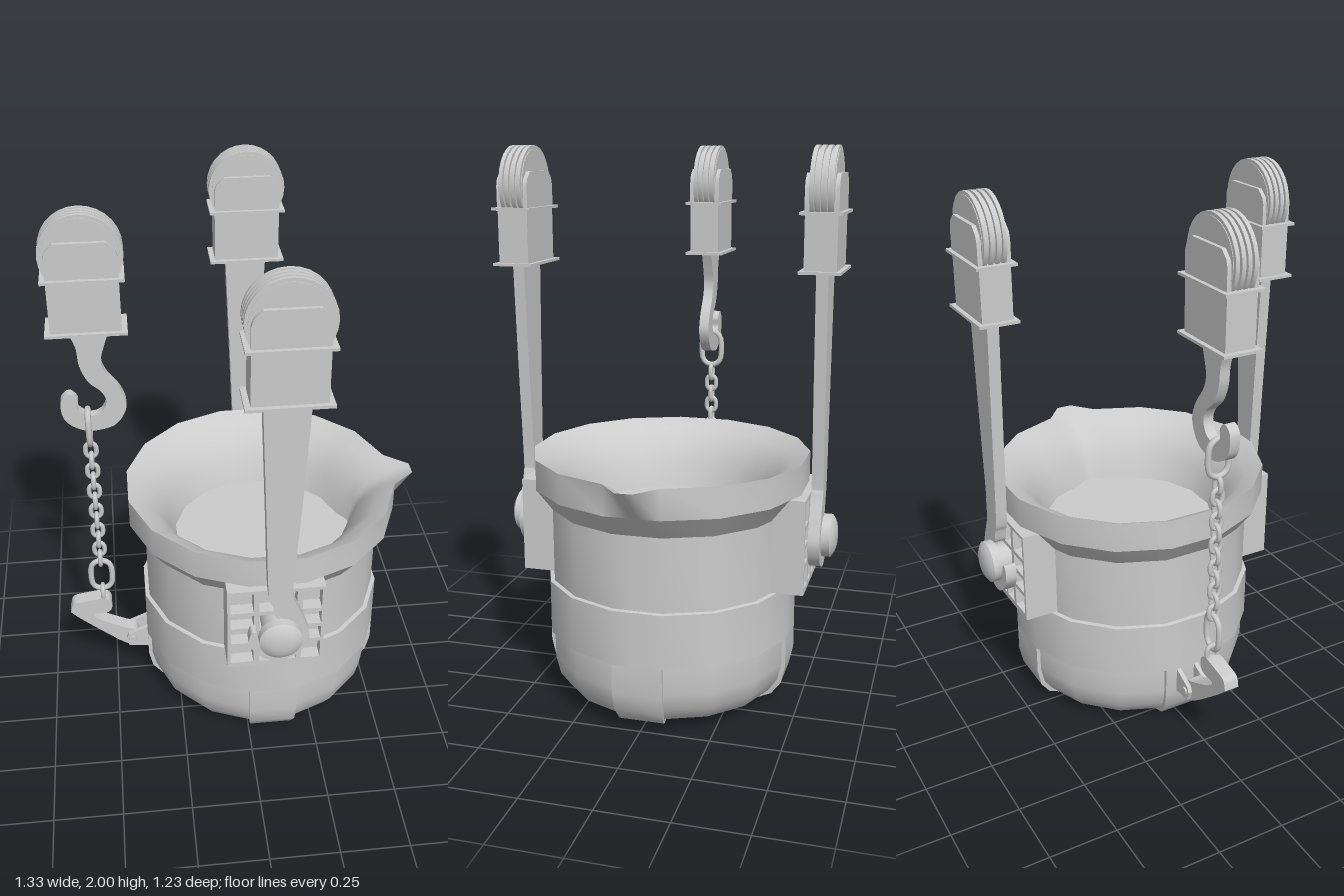
import * as THREE from 'three';
import { toCreasedNormals } from 'three/addons/utils/BufferGeometryUtils.js';

const material = new THREE.MeshStandardMaterial({ color: 0xcccccc });
const CX = 0.084; // vessel axis
const STEP = Math.PI / 8; // 16-sided vessel

// Creases at a larger scale so that small details keep their own corners
function crease(geometry, angle = 0.6) {
  geometry.scale(100, 100, 100);
  const g = toCreasedNormals(geometry, angle);
  g.scale(0.01, 0.01, 0.01);
  return g;
}

function add(parent, name, geometry, x = 0, y = 0, z = 0) {
  const mesh = new THREE.Mesh(geometry, material);
  mesh.name = name;
  mesh.position.set(x, y, z);
  parent.add(mesh);
  return mesh;
}

// Skin over a list of closed rings of [x, y, z] points
function loft(rings, angle) {
  const n = rings[0].length, index = [];
  for (let i = 0; i < rings.length - 1; i++) {
    for (let j = 0; j < n; j++) {
      const a = i * n + j, b = i * n + (j + 1) % n;
      index.push(a, b, a + n, b, b + n, a + n);
    }
  }
  const g = new THREE.BufferGeometry();
  g.setAttribute('position', new THREE.Float32BufferAttribute(rings.flat(2), 3));
  g.setIndex(index);
  return crease(g, angle);
}

// Flat plate centred on z = 0, with a straight or splined outline
function plate(points, thickness, holes = [], smooth = false) {
  const v = points.map(([x, y]) => new THREE.Vector2(x, y));
  const shape = new THREE.Shape();
  shape.moveTo(v[0].x, v[0].y);
  if (smooth) shape.splineThru(v.slice(1));
  else v.slice(1).forEach((p) => shape.lineTo(p.x, p.y));
  shape.holes = holes;
  const g = new THREE.ExtrudeGeometry(shape, { depth: thickness, bevelEnabled: false, curveSegments: points.length * 3 });
  g.translate(0, 0, -thickness / 2);
  return crease(g);
}

function makeVessel() {
  const vessel = new THREE.Group();
  vessel.name = 'vessel';
  vessel.position.x = CX;
  // Three extra columns at angle 0 carry the pouring spout
  const angles = [0, 0.052];
  for (let i = 0; i < 16; i++) angles.push((i + 0.5) * STEP);
  angles.push(2 * Math.PI - 0.052);
  // Profile points: [apothem, height, radius at the spout]
  const shell = (name, profile, angle) => add(vessel, name, loft(profile.map(([r, y, spout]) => angles.map((a) => {
    const local = Math.abs(((a + STEP / 2) % STEP) - STEP / 2);
    const d = Math.cos(a) > 0.99 && spout ? spout : r / Math.cos(local);
    return [d * Math.cos(a), y, -d * Math.sin(a)];
  })), angle));
  shell('ladleBody', [
    [0, 0.012], [0.34, 0.018], [0.39, 0.045], [0.425, 0.095], [0.44, 0.16], [0.44, 0.26],
    [0.453, 0.262], [0.453, 0.46], [0.438, 0.462], [0.438, 0.73], [0.496, 0.81],
  ], 0.6);
  shell('rim', [[0.496, 0.81], [0.496, 0.92, 0.58]], 1.2);
  shell('innerLining', [
    [0.496, 0.92, 0.58], [0.435, 0.888, 0.5], [0.385, 0.84, 0.42], [0.345, 0.77, 0.375], [0.318, 0.68, 0.35], [0, 0.68],
  ], 1.1);

  // Raised straps crossing under the base
  const strap = [[0, 0], [0.345, 0.004], [0.402, 0.035], [0.438, 0.085], [0.453, 0.155], [0.453, 0.262]];
  const strapGeometry = loft(strap.map(([r, y]) => {
    const w = Math.max(0.04, r * Math.tan(STEP / 2));
    const ri = r * 0.94, yi = y + 0.03 * (1 - y / 0.262);
    return [[r, y, w], [r, y, -w], [ri, yi, -w], [ri, yi, w]];
  }));
  for (let i = 0; i < 4; i++) add(vessel, 'baseStrap', strapGeometry).rotation.y = i * Math.PI / 2;
  return vessel;
}

// Ribbed pad and pin on one side of the vessel
function makeTrunnion(s) {
  const g = new THREE.Group();
  g.name = 'trunnion';
  const holes = [];
  const columns = [[-0.083, -0.002], [0.018, 0.076], [0.09, 0.15], [0.17, 0.238]];
  const rows = [[0.485, 0.56], [0.575, 0.63], [0.645, 0.7], [0.715, 0.798]];
  for (const [x0, x1] of columns) {
    for (const [y0, y1] of rows) {
      holes.push(new THREE.Path([[x0, y0], [x1, y0], [x1, y1], [x0, y1]].map((p) => new THREE.Vector2(...p))));
    }
  }
  add(g, 'ribGrid', plate([[-0.095, 0.465], [0.25, 0.465], [0.25, 0.81], [-0.095, 0.81]], 0.05, holes), 0, 0, s * 0.498);
  // Backing with its upper edge chamfered under the rim
  const back = plate([[0.39, 0.465], [0.475, 0.465], [0.475, 0.81], [0.45, 0.81], [0.39, 0.73]].map(([z, y]) => [-z * s, y]), 0.345);
  add(g, 'padBacking', back, 0.0775).rotation.y = Math.PI / 2;
  const pin = [[0.06, 0.44], [0.06, 0.565], [0.077, 0.565], [0.077, 0.596], [0.068, 0.602], [0.055, 0.609], [0.037, 0.614], [0, 0.616]];
  const pinGeometry = crease(new THREE.LatheGeometry(pin.map((p) => new THREE.Vector2(...p)), 20));
  add(g, 'trunnionPin', pinGeometry, 0.085, 0.64).rotation.x = s * Math.PI / 2;
  return g;
}

// Pulley block hanging above each lifting arm
function makeBlock(x, z) {
  const g = new THREE.Group();
  g.name = 'pulleyBlock';
  g.position.set(x, 0, z);
  add(g, 'blockHousing', new THREE.BoxGeometry(0.24, 0.19, 0.11), 0, 1.685);
  for (const y of [1.588, 1.781]) add(g, 'blockFlange', new THREE.BoxGeometry(0.278, 0.01, 0.143), 0, y);
  const cheek = plate([[-0.12, 1.78], [0.12, 1.78], [0.12, 1.86], [0.112, 1.885], [0.085, 1.91], [-0.085, 1.91], [-0.112, 1.885], [-0.12, 1.86]], 0.016);
  for (const s of [-1, 1]) add(g, 'blockCheek', cheek, 0, 0, s * 0.049);
  const disc = (name, r, w, dz) => {
    add(g, name, crease(new THREE.CylinderGeometry(r, r, w, 28)), 0, 1.86, dz).rotation.x = Math.PI / 2;
  };
  disc('sheaveCore', 0.128, 0.085, 0);
  for (const dz of [-0.033, -0.011, 0.011, 0.033]) disc('sheave', 0.14, 0.014, dz);
  return g;
}

// Oval link, face-on to the front or turned edge-on
function addLink(parent, y, height, width, wire, turned) {
  const bend = width / 2 - wire, straight = height / 2 - wire - bend, points = [];
  for (let i = 0; i < 12; i++) {
    const a = (i + 0.5) * Math.PI / 6;
    points.push(new THREE.Vector3(bend * Math.cos(a), bend * Math.sin(a) + Math.sign(Math.sin(a)) * straight, 0));
  }
  const curve = new THREE.CatmullRomCurve3(points, true);
  const link = add(parent, 'chainLink', new THREE.TubeGeometry(curve, 24, wire, 8, true), -0.535, y);
  if (turned) link.rotation.y = Math.PI / 2;
}

export function createModel() {
  const model = new THREE.Group();
  model.name = 'pouringLadle';
  model.add(makeVessel());

  // Side lifting arms, ending in hooks under the pins
  const arm = plate([
    [0.013, 1.59], [0.03, 1.15], [0.042, 0.84], [0.058, 0.77], [0.074, 0.72], [0.12, 0.71], [0.148, 0.675], [0.153, 0.62],
    [0.116, 0.575], [0.053, 0.575], [0.016, 0.61], [0.005, 0.655], [-0.016, 0.655], [-0.021, 0.6],
    [0.026, 0.54], [0.085, 0.522], [0.159, 0.556], [0.19, 0.627], [0.169, 0.706], [0.132, 0.8],
    [0.127, 0.865], [0.147, 1.2], [0.167, 1.59],
  ], 0.042, [], true);
  for (const s of [1, -1]) {
    model.add(makeTrunnion(s), makeBlock(0.091, s * 0.543));
    add(model, 'liftingArm', arm, 0, 0, s * 0.545);
  }

  // Tilting hook
  model.add(makeBlock(-0.515, 0));
  add(model, 'tiltingHook', plate([
    [-0.585, 1.59], [-0.558, 1.52], [-0.55, 1.447], [-0.524, 1.384], [-0.481, 1.341], [-0.466, 1.299],
    [-0.487, 1.257], [-0.529, 1.246], [-0.566, 1.273], [-0.566, 1.31], [-0.593, 1.336], [-0.624, 1.31],
    [-0.624, 1.257], [-0.606, 1.22], [-0.566, 1.193], [-0.519, 1.183], [-0.439, 1.204], [-0.397, 1.273],
    [-0.413, 1.341], [-0.46, 1.41], [-0.474, 1.463], [-0.46, 1.52], [-0.434, 1.59],
  ], 0.038, [], true));

  // Chain
  const chain = new THREE.Group();
  chain.name = 'chain';
  model.add(chain);
  addLink(chain, 1.19, 0.16, 0.1, 0.011, true);
  for (let i = 0; i < 12; i++) addLink(chain, 1.09 - i * 0.0455, 0.075, 0.056, 0.009, i % 2 === 1);
  addLink(chain, 0.508, 0.16, 0.1, 0.011, false);
  addLink(chain, 0.42, 0.08, 0.06, 0.009, true);

  // Tilting lever on its lug
  add(model, 'tiltingLever', plate([
    [-0.667, 0.347], [-0.654, 0.384], [-0.614, 0.396], [-0.529, 0.405], [-0.503, 0.373], [-0.519, 0.336],
    [-0.582, 0.331], [-0.556, 0.299], [-0.455, 0.246], [-0.413, 0.23], [-0.402, 0.188], [-0.434, 0.161],
    [-0.476, 0.177], [-0.614, 0.295], [-0.667, 0.347],
  ], 0.056, [], true));
  const lug = plate([[-0.455, 0.2], [-0.445, 0.165], [-0.34, 0.155], [-0.34, 0.26], [-0.37, 0.255], [-0.445, 0.222]], 0.016);
  for (const s of [-1, 1]) add(model, 'leverLug', lug, 0, 0, s * 0.037);
  add(model, 'leverPin', crease(new THREE.CylinderGeometry(0.016, 0.016, 0.104, 12)), -0.43, 0.197).rotation.x = Math.PI / 2;
  return model;
}
